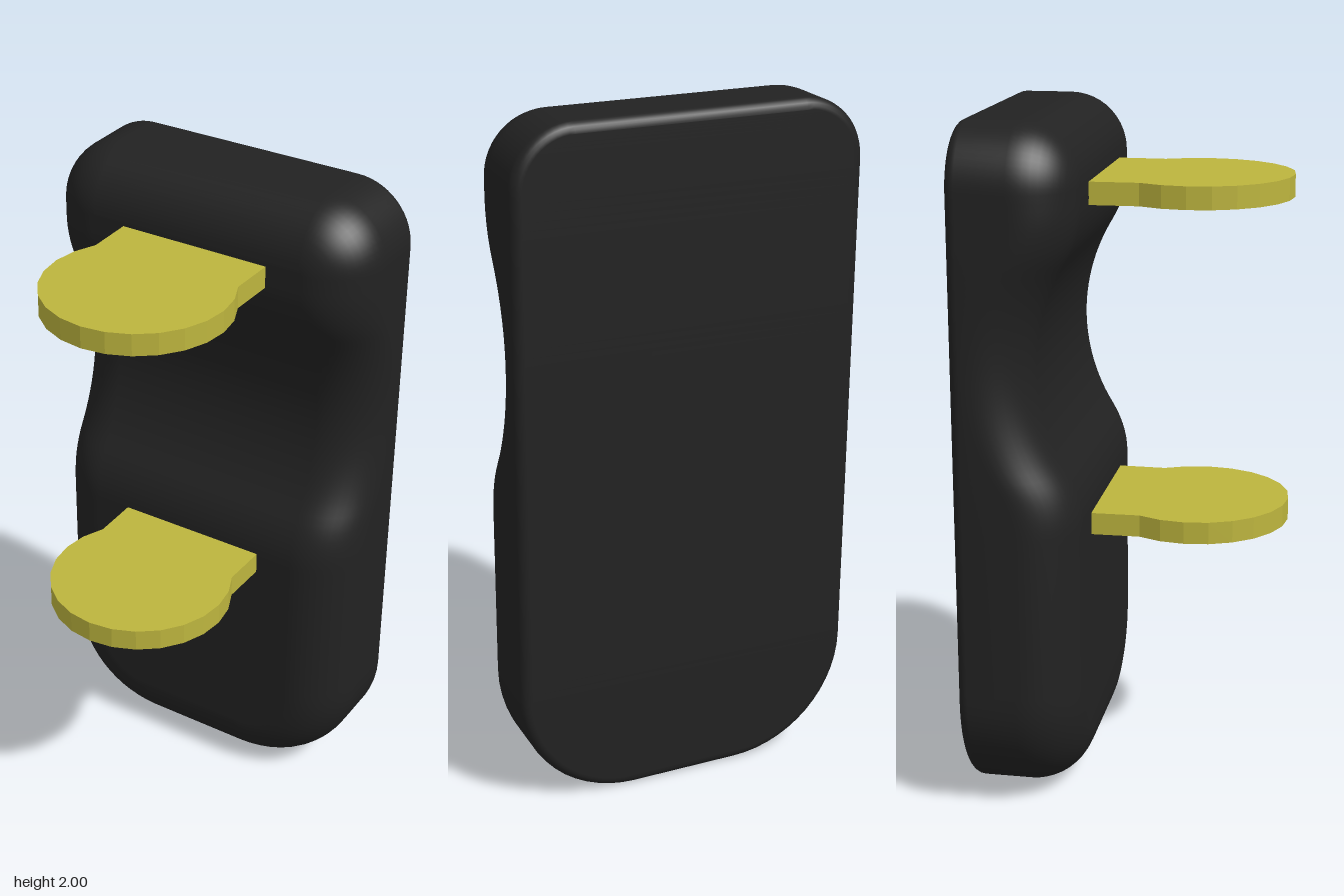
import * as THREE from 'three';

const HALF_W = 0.515, HEIGHT = 2, BACK = -0.445, FRONT = -0.105;
const R_TOP = 0.18, R_BOTTOM = 0.35, R_FRONT = 0.17, R_BACK = 0.03;

// Depth of the front face at height y: a concave arc blended into the flat by two convex arcs
function frontZ(y) {
  const d = Math.abs(y - 1.312), rIn = 0.57, rOut = 0.3, join = 0.3, end = 0.458;
  if (d >= end) return FRONT;
  if (d >= join) return FRONT - rOut + Math.sqrt(rOut ** 2 - (end - d) ** 2);
  return -0.235 + rIn - Math.sqrt(rIn ** 2 - d ** 2);
}

// Right half of the rounded outline, bottom to top, shrunk by an inset
function halfOutline(inset) {
  const pts = [], corner = 14, side = 64;
  const arc = (r, cy, from) => {
    for (let i = 0; i <= corner; i++) {
      const a = from + (i / corner) * Math.PI / 2;
      pts.push([HALF_W - r + (r - inset) * Math.cos(a), cy + (r - inset) * Math.sin(a)]);
    }
  };
  arc(R_BOTTOM, R_BOTTOM, -Math.PI / 2);
  for (let i = 1; i < side; i++) {
    pts.push([HALF_W - inset, THREE.MathUtils.lerp(R_BOTTOM, HEIGHT - R_TOP, i / side)]);
  }
  arc(R_TOP, HEIGHT - R_TOP, 0);
  return pts;
}

function bodyGeometry() {
  // Each ring: inset from the outline, and a rule for z
  const rings = [];
  for (let i = 0; i <= 5; i++) {
    const a = (i / 5) * Math.PI / 2;
    rings.push([R_BACK * (1 - Math.sin(a)), () => BACK + R_BACK * (1 - Math.cos(a))]);
  }
  for (let i = 0; i <= 12; i++) {
    const a = (i / 12) * Math.PI / 2;
    rings.push([R_FRONT * (1 - Math.cos(a)), y => frontZ(y) - R_FRONT * (1 - Math.sin(a))]);
  }
  const pos = [], index = [];
  let n = 0;
  for (const [inset, z] of rings) {
    const half = halfOutline(inset);
    n = half.length;
    for (const [x, y] of half) pos.push(x, y, z(y));
    for (const [x, y] of half.reverse()) pos.push(-x, y, z(y));
  }
  const m = 2 * n;
  const quad = (a, b, c, d) => index.push(a, b, c, a, c, d);
  // Walls and rounded edges
  for (let k = 0; k < rings.length - 1; k++) {
    for (let i = 0; i < m; i++) {
      const j = (i + 1) % m;
      quad(k * m + i, k * m + j, (k + 1) * m + j, (k + 1) * m + i);
    }
  }
  // Back and front faces as horizontal strips
  const f = (rings.length - 1) * m;
  for (let i = 0; i < n - 1; i++) {
    const l = m - 1 - i;
    quad(l, l - 1, i + 1, i);
    quad(f + i, f + i + 1, f + l - 1, f + l);
  }
  const g = new THREE.BufferGeometry();
  g.setAttribute('position', new THREE.Float32BufferAttribute(pos, 3));
  g.setIndex(index);
  g.computeVertexNormals();
  return g;
}

// Flat tab: straight neck with a faceted round end
function tabGeometry() {
  const s = new THREE.Shape(), sides = 16, r = 0.27, start = -0.54;
  s.moveTo(-0.235, -0.2);
  s.lineTo(0.235, -0.2);
  for (let i = 0; i <= sides; i++) {
    const a = start + (i / sides) * (Math.PI - 2 * start);
    s.lineTo(r * Math.cos(a), 0.175 + r * Math.sin(a));
  }
  const g = new THREE.ExtrudeGeometry(s, { depth: 0.065, bevelEnabled: false });
  return g.rotateX(Math.PI / 2);
}

export function createModel() {
  const group = new THREE.Group();
  group.name = 'wallHolder';

  const body = new THREE.Mesh(bodyGeometry(), new THREE.MeshStandardMaterial({ color: 0x222222 }));
  body.name = 'body';
  group.add(body);

  const yellow = new THREE.MeshStandardMaterial({ color: 0xbdb53e, flatShading: true });
  const tab = tabGeometry();
  for (const [name, top] of [['upperTab', 1.82], ['lowerTab', 0.855]]) {
    const mesh = new THREE.Mesh(tab, yellow);
    mesh.name = name;
    mesh.position.y = top;
    group.add(mesh);
  }
  return group;
}
